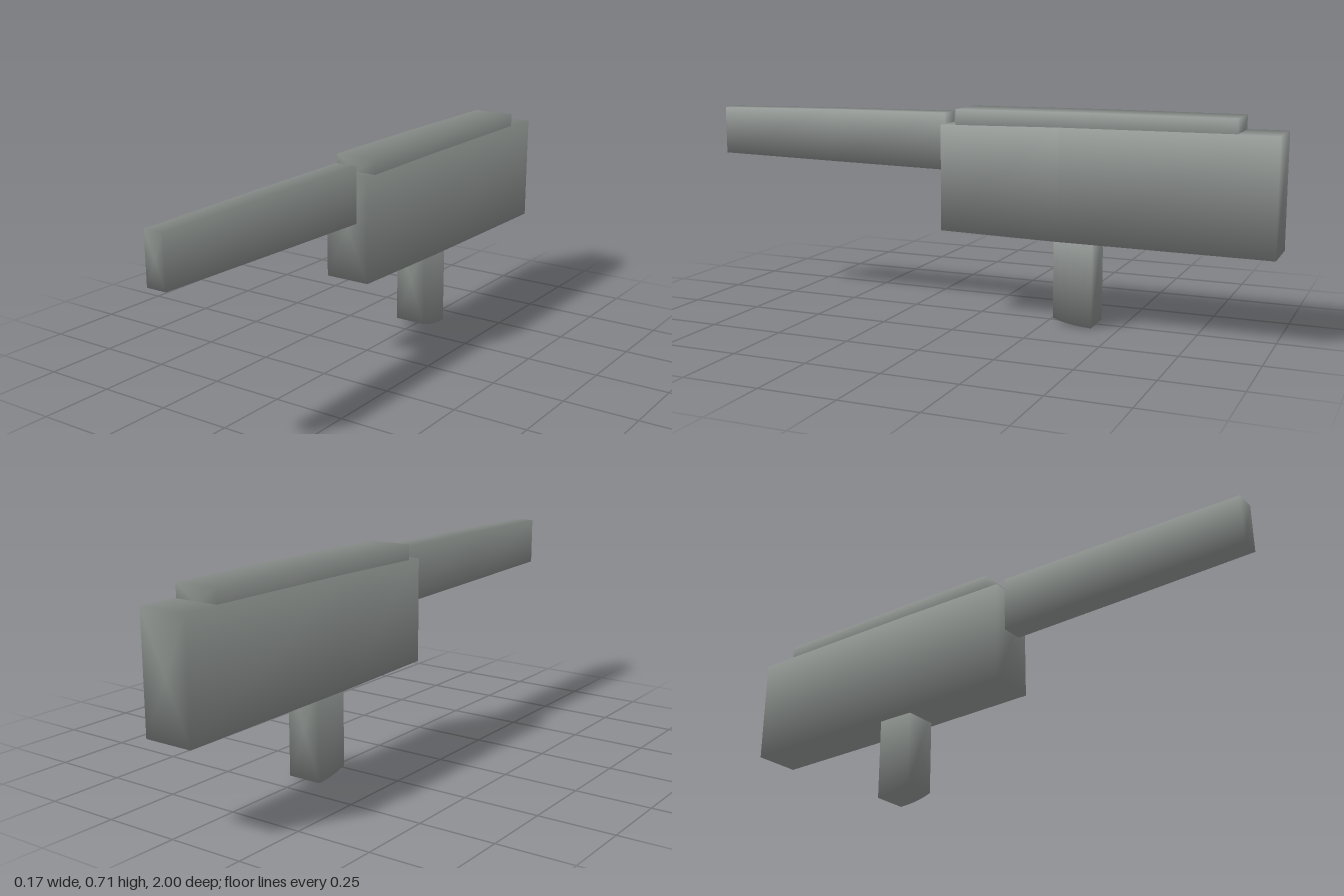
import * as THREE from 'three';

const material = new THREE.MeshStandardMaterial({ color: 0x888d8a });
const corners = [[1, 1], [-1, 1], [-1, -1], [1, -1]];

// Rectangular loft along z, softly shaded around its four corners, closed at both ends.
// Each section, front to back: [z, halfWidth, bottom, top]
function loft(name, sections) {
  const positions = [], normals = [], index = [];
  const n = sections.length;

  // Corner rings
  for (const [z, w, b, t] of sections) {
    for (const [sx, sy] of corners) {
      positions.push(sx * w, sy > 0 ? t : b, z);
      normals.push(sx * Math.SQRT1_2, sy * Math.SQRT1_2, 0);
    }
  }
  // Cap centres: their short normals let the corner shading fan out from the middle
  for (const [s, dir] of [[0, 1], [n - 1, -1]]) {
    const [z, , b, t] = sections[s];
    positions.push(0, (b + t) / 2, z);
    normals.push(0, 0, dir * 0.001);
  }
  for (let i = 0; i < 4; i++) {
    const j = (i + 1) % 4, back = (n - 1) * 4;
    for (let r = 0; r < back; r += 4) {
      index.push(r + i, r + i + 4, r + j + 4, r + i, r + j + 4, r + j);
    }
    index.push(n * 4, i, j, n * 4 + 1, back + j, back + i);
  }

  const geometry = new THREE.BufferGeometry();
  geometry.setAttribute('position', new THREE.Float32BufferAttribute(positions, 3));
  geometry.setAttribute('normal', new THREE.Float32BufferAttribute(normals, 3));
  geometry.setIndex(index);
  const mesh = new THREE.Mesh(geometry, material);
  mesh.name = name;
  return mesh;
}

export function createModel() {
  const model = new THREE.Group();
  model.name = 'model';

  // Slightly tapered main housing
  model.add(loft('body', [
    [0.115, 0.081, 0.291, 0.649],
    [-0.3, 0.083, 0.284, 0.656],
    [-1, 0.085, 0.28, 0.66],
  ]));

  // Raised cover along the top
  model.add(loft('topCover', [
    [0.063, 0.076, 0.6, 0.702],
    [-0.4, 0.077, 0.6, 0.706],
    [-0.87, 0.077, 0.6, 0.706],
  ]));

  // Barrel narrowing towards the front
  model.add(loft('barrel', [
    [1, 0.035, 0.507, 0.673],
    [0.55, 0.038, 0.499, 0.681],
    [0.118, 0.04, 0.492, 0.685],
  ]));

  // Grip with a curved lower edge
  model.add(loft('grip', [
    [-0.28, 0.058, 0.022, 0.33],
    [-0.31, 0.059, 0.013, 0.33],
    [-0.345, 0.06, 0.006, 0.33],
    [-0.38, 0.06, 0.002, 0.33],
    [-0.412, 0.06, 0, 0.33],
  ]));
  return model;
}
